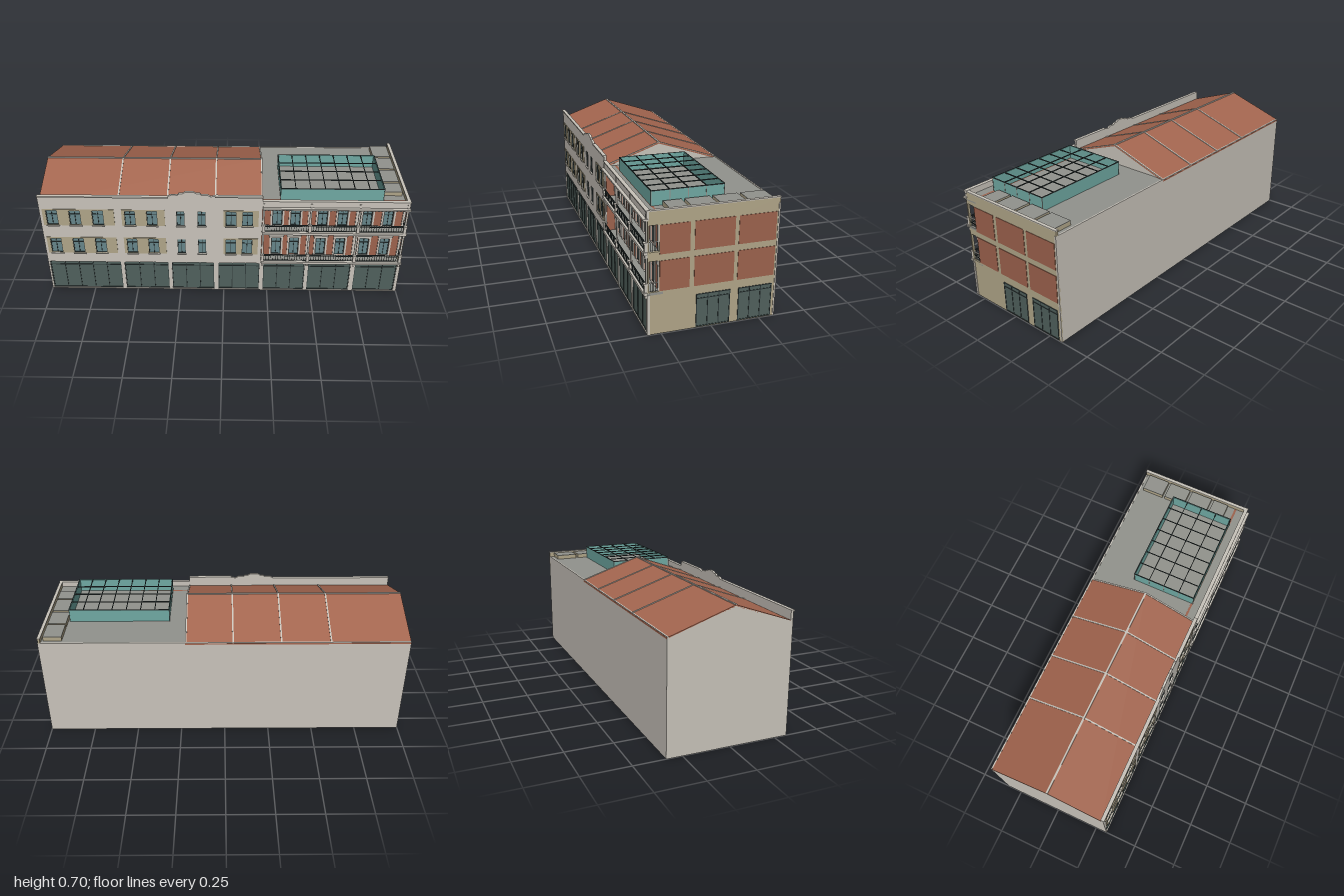
import * as THREE from 'three';

const mat = (name, color) => Object.assign(new THREE.MeshStandardMaterial({ color }), { name });

export function createModel() {
  const M = {
    plaster: mat('plaster', 0xc8c3ba),
    tan: mat('tan render', 0xb0a588),
    brick: mat('brick', 0x9c624d),
    roof: mat('roof tile', 0xa4664f),
    shop: mat('shop glass', 0x50605c),
    glass: mat('window glass', 0x66858a),
    teal: mat('skylight glass', 0x6fa8a2),
    frame: mat('dark frame', 0x323d3d),
    deck: mat('grey deck', 0x92938d),
  };
  const root = new THREE.Group();
  let target = root;
  const group = (name) => {
    target = new THREE.Group();
    target.name = name;
    root.add(target);
  };
  const add = (name, geo, m) => {
    const mesh = new THREE.Mesh(geo, m);
    mesh.name = name;
    target.add(mesh);
    return mesh;
  };
  const box = (name, m, x0, x1, y0, y1, z0, z1) =>
    add(name, new THREE.BoxGeometry(x1 - x0, y1 - y0, z1 - z0), m)
      .position.set((x0 + x1) / 2, (y0 + y1) / 2, (z0 + z1) / 2);
  const poly = (pts) => new THREE.Shape(pts.map(([x, y]) => new THREE.Vector2(x, y)));
  const rect = ([x0, x1, y0, y1]) => [[x0, y0], [x1, y0], [x1, y1], [x0, y1]];
  const extrude = (pts, holes, depth) => {
    const shape = poly(pts);
    shape.holes = holes.map((h) => poly(rect(h)));
    return new THREE.ExtrudeGeometry(shape, { depth, bevelEnabled: false });
  };
  // Wall facing z, outline in x and y
  const wallZ = (name, m, pts, holes, z0, z1) =>
    add(name, extrude(pts, holes, z1 - z0).translate(0, 0, z0), m);
  // Wall facing x, outline in z and y
  const wallX = (name, m, pts, holes, x0, x1) =>
    add(name, extrude(pts.map(([z, y]) => [-z, y]), holes.map(([a, b, c, d]) => [-b, -a, c, d]), x1 - x0)
      .rotateY(Math.PI / 2).translate(x0, 0, 0), m);

  const floors = [[0.265, 0.368], [0.455, 0.555]];

  // Glazed window with a dark frame, mullion and transom
  const windowAt = (cx, w, y0, y1, z) => {
    const a = cx - w / 2, b = cx + w / 2, t = 0.003, ty = y0 + (y1 - y0) * 0.72;
    box('windowGlass', M.glass, a, b, y0, y1, z - 0.008, z - 0.003);
    wallZ('windowFrame', M.frame, rect([a, b, y0, y1]),
      [[a + t, cx - t / 2, y0 + t, ty], [cx + t / 2, b - t, y0 + t, ty],
        [a + t, cx - t / 2, ty + t, y1 - t], [cx + t / 2, b - t, ty + t, y1 - t]], z - 0.003, z + 0.001);
  };

  // Long plastered front with its stepped parapet
  group('plasterBuilding');
  const leftShops = [[-0.99, -0.585], [-0.565, -0.315], [-0.295, -0.055], [-0.03, 0.203]];
  const rightShops = [[0.225, 0.46], [0.48, 0.72], [0.745, 0.982]];
  const shopHole = ([a, b]) => [a, b, 0.006, 0.198];
  const wins = [[-0.935, 0.062], [-0.81, 0.062], [-0.685, 0.062], [-0.51, 0.058], [-0.39, 0.058],
    [-0.235, 0.044], [-0.12, 0.044], [0.04, 0.058], [0.13, 0.058]];
  const winHoles = floors.flatMap(([y0, y1]) => wins.map(([c, w]) => [c - w / 2, c + w / 2, y0, y1 - 0.005]));
  wallZ('frontWall', M.plaster, [[-1, 0], [0.21, 0], [0.21, 0.652], [-0.04, 0.652], [-0.07, 0.646],
    [-0.085, 0.655], [-0.12, 0.655], [-0.125, 0.664], [-0.145, 0.664], [-0.16, 0.673], [-0.205, 0.673],
    [-0.22, 0.664], [-0.24, 0.664], [-0.245, 0.655], [-0.28, 0.655], [-0.3, 0.645], [-1, 0.645]],
  [...winHoles, ...leftShops.map(shopHole)], 0.305, 0.318);
  for (const [y0, y1] of floors) {
    for (const [a, b] of [[-0.985, -0.595], [-0.555, -0.32], [0, 0.19]]) {
      const holes = wins.filter(([c]) => c > a && c < b).map(([c, w]) => [c - w / 2, c + w / 2, y0 + 0.002, y1 - 0.005]);
      wallZ('windowPanel', M.tan, rect([a, b, y0 - 0.002, y1 + 0.004]), holes, 0.318, 0.32);
    }
    for (const [c, w] of wins) {
      windowAt(c, w, y0, y1 - 0.005, 0.315);
      box('windowSill', M.plaster, c - w / 2 - 0.004, c + w / 2 + 0.004, y0 - 0.006, y0, 0.318, 0.325);
    }
  }
  box('parapetCap', M.plaster, -1, -0.3, 0.637, 0.645, 0.318, 0.325);
  box('parapetCap', M.plaster, -0.045, 0.21, 0.644, 0.652, 0.318, 0.325);

  // Shopfronts with piers between them
  group('shopfronts');
  wallZ('shopWall', M.plaster, rect([0.21, 1, 0, 0.208]), rightShops.map(shopHole), 0.305, 0.318);
  const shopBars = (a, b, n, y0, y1, put) => {
    const t = 0.004, ty = y1 - 0.026;
    put(a, b, y0, y0 + t);
    put(a, b, y1 - t, y1);
    put(a, b, ty, ty + t);
    for (let i = 0; i <= n; i++) {
      const x = a + ((b - a - t) * i) / n;
      put(x, x + t, y0, y1);
    }
  };
  for (const [a, b] of [...leftShops, ...rightShops]) {
    box('shopGlass', M.shop, a, b, 0.004, 0.2, 0.306, 0.31);
    shopBars(a, b, b - a > 0.3 ? 5 : 3, 0.006, 0.198,
      (x0, x1, y0, y1) => box('shopFrame', M.frame, x0, x1, y0, y1, 0.31, 0.313));
  }

  // Plain back, gabled end and the long pitched roof
  group('shellAndRoof');
  box('backWall', M.plaster, -1, 1, 0, 0.592, -0.333, -0.325);
  const ridge = [0.008, 0.698];
  wallX('leftEndWall', M.plaster, [[0.31, 0], [0.31, 0.592], ridge, [-0.333, 0.583], [-0.333, 0]], [], -1, -0.993);
  wallX('innerGable', M.plaster, [[0.31, 0.583], ridge, [-0.325, 0.583]], [], 0.2, 0.208);
  wallX('pitchedRoof', M.roof, [[0.308, 0.595], [0.008, 0.702], [-0.334, 0.588], [-0.334, 0.58],
    [0.008, 0.694], [0.308, 0.587]], [], -1, 0.212);
  for (const x of [-0.572, -0.305, -0.045, 0.209]) {
    wallX('roofRib', M.plaster, [[0.308, 0.595], [0.308, 0.599], [0.008, 0.705], [-0.334, 0.592],
      [-0.334, 0.588], [0.008, 0.702]], [], x - 0.004, x + 0.004);
  }
  box('ridgeCap', M.plaster, -1, 0.212, 0.7, 0.705, 0.003, 0.013);

  // Right end wall with loggia openings, brick panels and side shops
  group('rightEnd');
  wallX('rightWall', M.tan, rect([-0.333, 0.315, 0, 0.618]),
    [[0.26, 0.308, 0.22, 0.375], [0.26, 0.308, 0.42, 0.55]], 0.985, 0.997);
  for (const [y0, y1] of [[0.222, 0.374], [0.406, 0.549]]) {
    for (const [a, b] of [[-0.318, -0.128], [-0.109, 0.09], [0.112, 0.258]]) {
      box('brickPanel', M.brick, 0.996, 0.999, y0, y1, a, b);
    }
  }
  for (const [a, b] of [[-0.312, -0.137], [-0.095, 0.077]]) {
    box('sideShopGlass', M.shop, 0.996, 0.998, 0.005, 0.178, a, b);
    shopBars(a, b, 3, 0.005, 0.178, (z0, z1, y0, y1) => box('sideShopFrame', M.frame, 0.997, 1, y0, y1, z0, z1));
  }
  box('rightCoping', M.plaster, 0.982, 1, 0.617, 0.622, -0.335, 0.32);

  // Recessed brick front behind the balconies
  group('brickFront');
  const doors = [0.295, 0.395, 0.545, 0.655, 0.79, 0.905];
  const levels = [[0.222, 0.352], [0.424, 0.542]];
  const dw = 0.026;
  wallZ('brickWall', M.brick, rect([0.21, 0.99, 0.2, 0.59]),
    levels.flatMap(([y0, y1]) => doors.map((c) => [c - dw, c + dw, y0, y1 - 0.012])), 0.248, 0.26);
  wallX('partyWall', M.brick, rect([0.245, 0.31, 0.2, 0.585]), [], 0.208, 0.214);
  const piers = [0.217, 0.471, 0.733, 0.988];
  for (const [y0, y1] of levels) {
    for (const c of doors) {
      windowAt(c, dw * 2, y0, y1 - 0.012, 0.257);
      wallZ('doorSurround', M.plaster, rect([c - 0.037, c + 0.037, y0, y1]),
        [[c - dw, c + dw, y0 + 0.001, y1 - 0.012]], 0.26, 0.266);
      box('doorHood', M.plaster, c - 0.041, c + 0.041, y1, y1 + 0.007, 0.26, 0.272);
    }
    for (const x of piers) {
      box('wallPilaster', M.plaster, x - 0.007, x + 0.007, y0, y1 + 0.03, 0.26, 0.266);
    }
  }

  // Balconies: slab, columns, brackets and metal railing
  group('balconies');
  for (const y of [0.205, 0.408]) {
    box('balconySlab', M.deck, 0.21, 0.997, y, y + 0.012, 0.24, 0.325);
    box('slabEdge', M.plaster, 0.21, 1, y + 0.002, y + 0.016, 0.318, 0.334);
    const r0 = y + 0.02, r1 = y + 0.062;
    for (const [a, b] of [[0.224, 0.465], [0.477, 0.727], [0.739, 0.982]]) {
      for (const ry of [r0, r1 - 0.011, r1 - 0.003]) box('railing', M.frame, a, b, ry, ry + 0.003, 0.321, 0.325);
      const n = 18;
      for (let i = 0; i <= n; i++) {
        const x = a + ((b - a) * i) / n;
        box('baluster', M.frame, x - 0.001, x + 0.001, r0, r1, 0.322, 0.324);
      }
    }
    box('sideRail', M.plaster, 0.988, 0.994, r1 - 0.004, r1, 0.26, 0.32);
    for (let i = 0; i < 6; i++) {
      const z = 0.266 + i * 0.008;
      box('sideBaluster', M.frame, 0.99, 0.992, r0 - 0.004, r1 - 0.004, z, z + 0.002);
    }
    for (const x of piers) {
      box('railPost', M.plaster, x - 0.008, x + 0.008, y + 0.014, r1, 0.316, 0.33);
      box('postCap', M.plaster, x - 0.01, x + 0.01, r1 - 0.007, r1, 0.312, 0.334);
      box('column', M.plaster, x - 0.005, x + 0.005, r1, y + 0.2, 0.316, 0.323);
      box('slabBracket', M.plaster, x - 0.006, x + 0.006, y - 0.016, y + 0.002, 0.315, 0.327);
      box('columnHead', M.plaster, x - 0.008, x + 0.008, y + 0.15, y + 0.168, 0.255, 0.27);
    }
  }

  // Cornice and front parapet
  group('cornice');
  box('loggiaCeiling', M.deck, 0.21, 0.997, 0.57, 0.58, 0.24, 0.325);
  box('corniceBand', M.plaster, 0.21, 1, 0.575, 0.584, 0.312, 0.337);
  box('frontParapet', M.plaster, 0.21, 0.998, 0.58, 0.622, 0.308, 0.32);
  box('parapetCoping', M.plaster, 0.21, 1, 0.618, 0.624, 0.304, 0.325);
  for (let i = 0; i < 40; i++) {
    const x = 0.218 + i * 0.0196;
    box('dentil', M.plaster, x, x + 0.009, 0.568, 0.576, 0.318, 0.331);
  }

  // Flat roof, service boxes and open glass enclosure
  group('roofTerrace');
  box('roofDeck', M.deck, 0.208, 0.99, 0.582, 0.59, -0.328, 0.31);
  for (const [a, b] of [[-0.305, -0.18], [-0.165, -0.04], [-0.025, 0.1], [0.115, 0.205]]) {
    box('serviceBox', M.tan, 0.875, 0.975, 0.59, 0.612, a, b);
    box('serviceLid', M.deck, 0.875, 0.975, 0.612, 0.615, a, b);
  }
  const X0 = 0.308, X1 = 0.864, Z0 = -0.105, Z1 = 0.258, T = 0.664;
  wallZ('glassSide', M.teal, rect([X0, X1, 0.59, T]), [], Z0, Z0 + 0.004);
  wallZ('glassSide', M.teal, rect([X0, X1, 0.59, T]), [], Z1 - 0.004, Z1);
  wallX('glassEnd', M.teal, rect([Z0, Z1, 0.59, T]), [], X0, X0 + 0.004);
  wallX('glassEnd', M.teal, rect([Z0, Z1, 0.59, T]), [], X1 - 0.004, X1);
  for (let i = 0; i <= 7; i++) {
    const x = X0 + ((X1 - X0) * i) / 7;
    box('roofBar', M.frame, x - 0.002, x + 0.002, T - 0.003, T + 0.002, Z0, Z1);
  }
  for (let i = 0; i <= 4; i++) {
    const z = Z0 + ((Z1 - Z0) * i) / 4;
    box('roofBar', M.frame, X0, X1, T - 0.003, T + 0.002, z - 0.002, z + 0.002);
    box('glassPost', M.deck, X1 - 0.001, X1 + 0.001, 0.59, T, z - 0.002, z + 0.002);
    box('glassPost', M.deck, X0 - 0.001, X0 + 0.001, 0.59, T, z - 0.002, z + 0.002);
  }
  return root;
}
